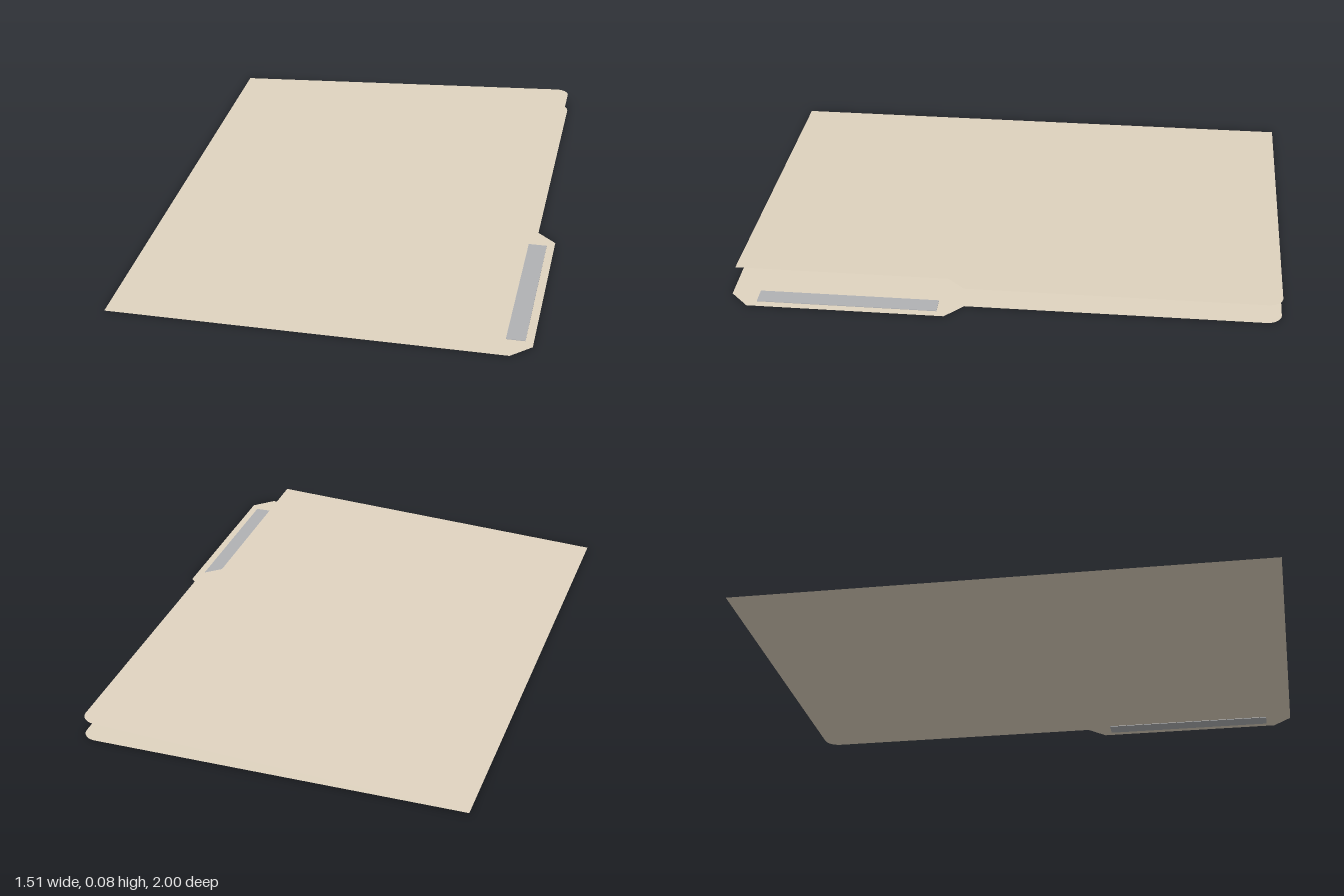
import * as THREE from 'three';

const SPINE = -0.757, EDGE = 0.684, R = 0.055;

export function createModel() {
  const folder = new THREE.Group();
  folder.name = 'folder';
  const card = new THREE.MeshStandardMaterial({ color: 0xe0d4c0, side: THREE.DoubleSide });
  const labelMat = new THREE.MeshStandardMaterial({ color: 0xb0b2b4, side: THREE.DoubleSide });

  // Flat card sheet in plan: spine edge, rounded back corner, then its own open edge.
  // Shape y is -z, so the laid-down sheet faces up.
  function sheet(name, edgePoints) {
    const s = new THREE.Shape();
    s.moveTo(SPINE, -1);
    for (const [x, z] of edgePoints) s.lineTo(x, -z);
    s.lineTo(EDGE, 1 - R);
    s.absarc(EDGE - R, 1 - R, R, 0, Math.PI / 2, false);
    s.lineTo(SPINE, 1);
    s.closePath();
    const geo = new THREE.ShapeGeometry(s, 10).rotateX(-Math.PI / 2).translate(-SPINE, 0, 0);
    const mesh = new THREE.Mesh(geo, card);
    mesh.name = name;
    mesh.position.set(SPINE, 0.002, 0);
    folder.add(mesh);
    return mesh;
  }

  // Lower sheet carries the projecting tab
  sheet('backCover', [[EDGE, 1], [0.755, 0.932], [0.755, 0.21], [EDGE, 0.145]]);

  // Upper sheet is cut away over the tab and hinged slightly open at the spine
  const front = sheet('frontCover', [[0.62, 1], [0.62, 0.21], [EDGE, 0.145]]);
  front.rotation.z = Math.atan2(0.075, EDGE - SPINE);

  // Label strip wrapping both faces of the tab
  const label = new THREE.Mesh(new THREE.BoxGeometry(0.068, 0.004, 0.66), labelMat);
  label.name = 'tabLabel';
  label.position.set(0.692, 0.002, 0.57);
  folder.add(label);

  return folder;
}
